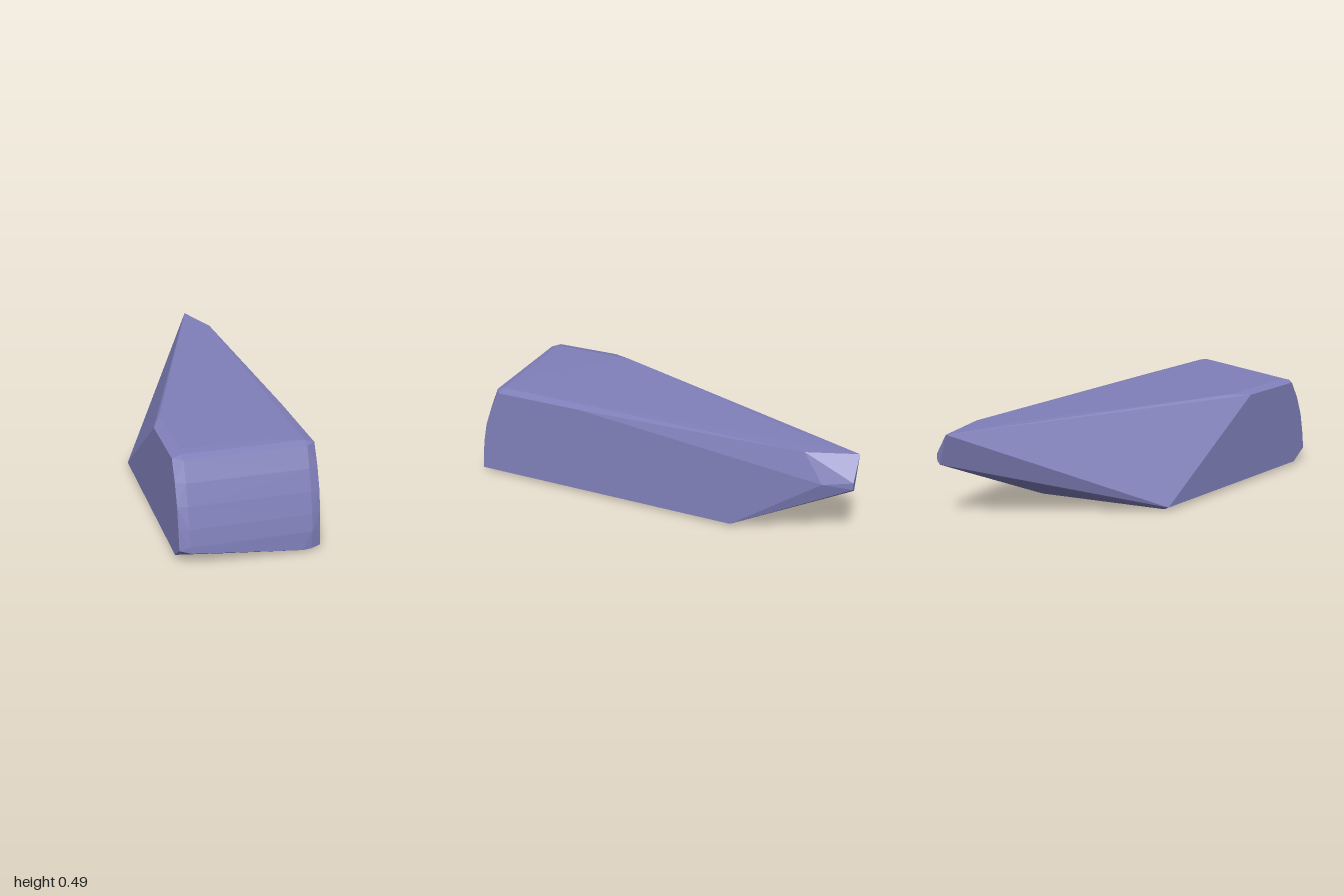
import * as THREE from 'three';
import { ConvexGeometry } from 'three/addons/geometries/ConvexGeometry.js';

const V = (x, y, z) => new THREE.Vector3(x, y, z);

export function createModel() {
  const group = new THREE.Group();
  group.name = 'wedgeRock';
  const points = [];
  const add = (...list) => list.forEach((p) => points.push(V(...p)));

  // curved front, as (y, z) profiles: full-depth middle and inset sides
  const middle = [[0.488, 0.85], [0.475, 0.885], [0.38, 0.925], [0.28, 0.957], [0.18, 0.982], [0.1, 0.996]];
  const sides = [[0.475, 0.855], [0.38, 0.905], [0.28, 0.942], [0.18, 0.963], [0.09, 0.975]];
  for (const s of [-1, 1]) {
    for (const [y, z] of middle) add([s * 0.285, y, z]);
    for (const [y, z] of sides) add([s * 0.33, y, z]);
  }

  // lower front edge, cut away toward the left end
  add([-0.28, 0.07, 0.998], [0.24, 0.012, 1], [0.285, 0.012, 0.995], [0.33, 0.018, 0.98]);
  add([-0.33, 0.08, 0.978], [-0.33, 0.018, 0.9], [-0.28, 0.002, 0.88], [-0.13, 0.012, 0.93], [0.28, 0, 0.97]);

  // top face and its side bevels
  add([-0.28, 0.49, 0.8], [0.12, 0.49, 0.8], [0.24, 0.487, 0.8], [-0.28, 0.49, 0.42], [0.12, 0.488, -0.62]);
  add([-0.33, 0.477, 0.52], [0.3, 0.481, -0.76], [0.33, 0.475, 0.4]);

  // underside, ending in a slanted back edge
  add([-0.33, 0.02, -0.08], [-0.3, 0.003, -0.08], [0.29, 0, -0.37], [0.33, 0.018, -0.41]);

  // raised back tip
  add([0.22, 0.483, -1], [0.3, 0.37, -1], [0.3, 0.335, -1], [0.28, 0.32, -1], [0.33, 0.345, -0.86]);

  const body = new THREE.Mesh(
    new ConvexGeometry(points),
    new THREE.MeshStandardMaterial({ color: 0x8080bb, flatShading: true })
  );
  body.name = 'body';
  group.add(body);
  return group;
}
